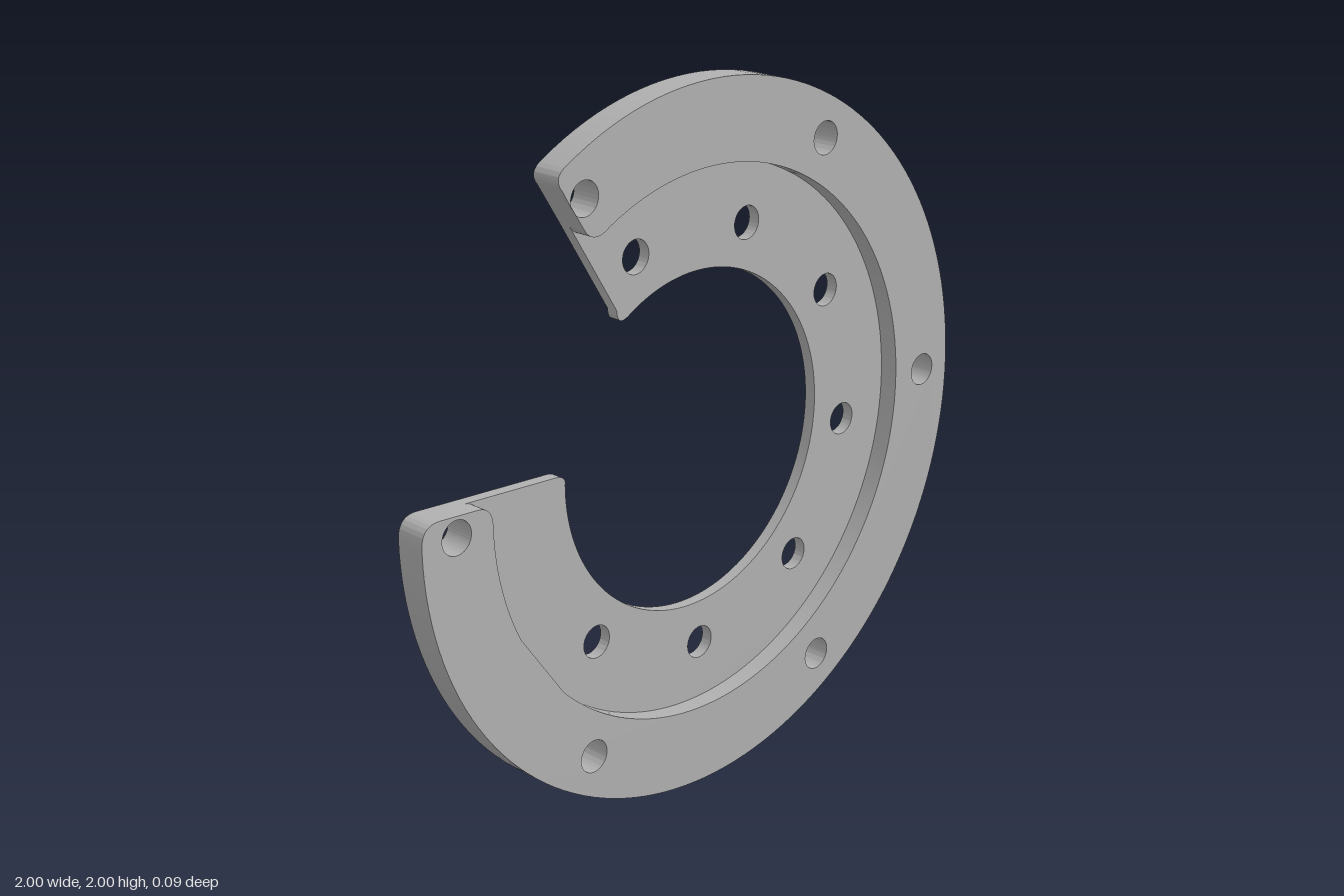
import * as THREE from 'three';
import { mergeGeometries, toCreasedNormals } from 'three/addons/utils/BufferGeometryUtils.js';

const BACK = -0.045, STEP = -0.01, FRONT = 0.045;
const R_OUT = 1, R_STEP = 0.772, R_IN = 0.48, R_HOLE = 0.047;
const rad = THREE.MathUtils.degToRad;

// Point on a circle about the ring centre, angle in degrees
const polar = (r, deg) => new THREE.Vector2(r * Math.cos(rad(deg)), 1 + r * Math.sin(rad(deg)));

function trace(build) {
  const path = new THREE.Path();
  build(path);
  return path.getPoints(64);
}

function holeRing(radius, angles) {
  return angles.map(a => {
    const c = polar(radius, a);
    return trace(p => p.absarc(c.x, c.y, R_HOLE, 0, Math.PI * 2, true));
  });
}

// Flat face bounded by an outline with holes
function face(outline, holes, z, facesBack = false) {
  const shape = new THREE.Shape(outline);
  shape.holes = holes.map(h => new THREE.Path(h));
  const g = new THREE.ShapeGeometry(shape).toNonIndexed();
  g.deleteAttribute('uv');
  if (facesBack) g.rotateY(Math.PI).scale(1, 1, 1);
  return g.translate(0, 0, z);
}

// Wall standing on a line of points, facing to the right of its direction
function wall(points, z0, z1) {
  const v = [];
  for (let i = 0; i < points.length - 1; i++) {
    const p = points[i], q = points[i + 1];
    if (p.distanceTo(q) < 1e-6) continue;
    v.push(p.x, p.y, z0, q.x, q.y, z0, q.x, q.y, z1);
    v.push(p.x, p.y, z0, q.x, q.y, z1, p.x, p.y, z1);
  }
  const g = new THREE.BufferGeometry();
  g.setAttribute('position', new THREE.Float32BufferAttribute(v, 3));
  g.computeVertexNormals();
  return toCreasedNormals(g, rad(35));
}

// Mirrored copy of points in x, for the face turned to the back
const mirrorX = pts => pts.map(p => new THREE.Vector2(-p.x, p.y));

export function createModel() {
  const steel = new THREE.MeshStandardMaterial({ color: 0xb0b0b0 });
  steel.name = 'grey metal';

  // Outer edge with rounded corners, from the left end round to the upper end
  const outer = trace(p => {
    p.moveTo(-0.82, 1.053);
    p.lineTo(-0.945, 1.06);
    p.quadraticCurveTo(-1, 1.06, -1, 1);
    p.absarc(0, 1, R_OUT, Math.PI, rad(480), false);
    p.quadraticCurveTo(-0.55, 1.84, -0.52, 1.805);
    p.lineTo(-0.45, 1.694);
  });
  // Step edge with rounded ends, back to the left end
  const step = trace(p => {
    p.moveTo(-0.45, 1.694);
    p.quadraticCurveTo(-0.42, 1.645, -0.365, 1.68);
    p.absarc(0, 1, R_STEP, rad(478.2), rad(180.4), true);
    p.quadraticCurveTo(-0.772, 1.05, -0.82, 1.053);
  });
  // Bore with a small nub at each end
  const inner = trace(p => {
    p.moveTo(-0.45, 1.694);
    p.lineTo(-0.289, 1.434);
    p.quadraticCurveTo(-0.288, 1.39, -0.25, 1.41);
    p.absarc(0, 1, R_IN, rad(481.4), rad(179), true);
    p.quadraticCurveTo(-0.475, 1.037, -0.524, 1.037);
    p.lineTo(-0.82, 1.053);
  });

  const rimHoles = holeRing(0.89, [0, 60, 120, 180, 240, 300]);
  const plateHoles = holeRing(0.605, [0, 1, 2, 3, 4, 5, 6].map(i => 111.3 - 40 * i));
  const allHoles = [...rimHoles, ...plateHoles];

  const plateOutline = [...outer, ...inner.slice(1, -1)];
  const rimOutline = [...outer, ...step.slice(1, -1)];
  const floorOutline = [...step.slice().reverse(), ...inner.slice(1, -1)];

  // Thin plate: back face, recessed floor, edges and hole walls
  const plate = mergeGeometries([
    face(mirrorX(plateOutline), allHoles.map(mirrorX), BACK, true),
    face(floorOutline, plateHoles, STEP),
    wall([...plateOutline, plateOutline[0]], BACK, STEP),
    ...allHoles.map(h => wall(h, BACK, STEP)),
  ]);
  // Raised outer rim on the front
  const rim = mergeGeometries([
    face(rimOutline, rimHoles, FRONT),
    wall([...rimOutline, rimOutline[0]], STEP, FRONT),
    ...rimHoles.map(h => wall(h, STEP, FRONT)),
  ]);

  const model = new THREE.Group();
  model.name = 'steppedOpenRing';
  for (const [name, geometry] of [['backPlate', plate], ['raisedRim', rim]]) {
    const mesh = new THREE.Mesh(geometry, steel);
    mesh.name = name;
    model.add(mesh);
  }
  return model;
}
